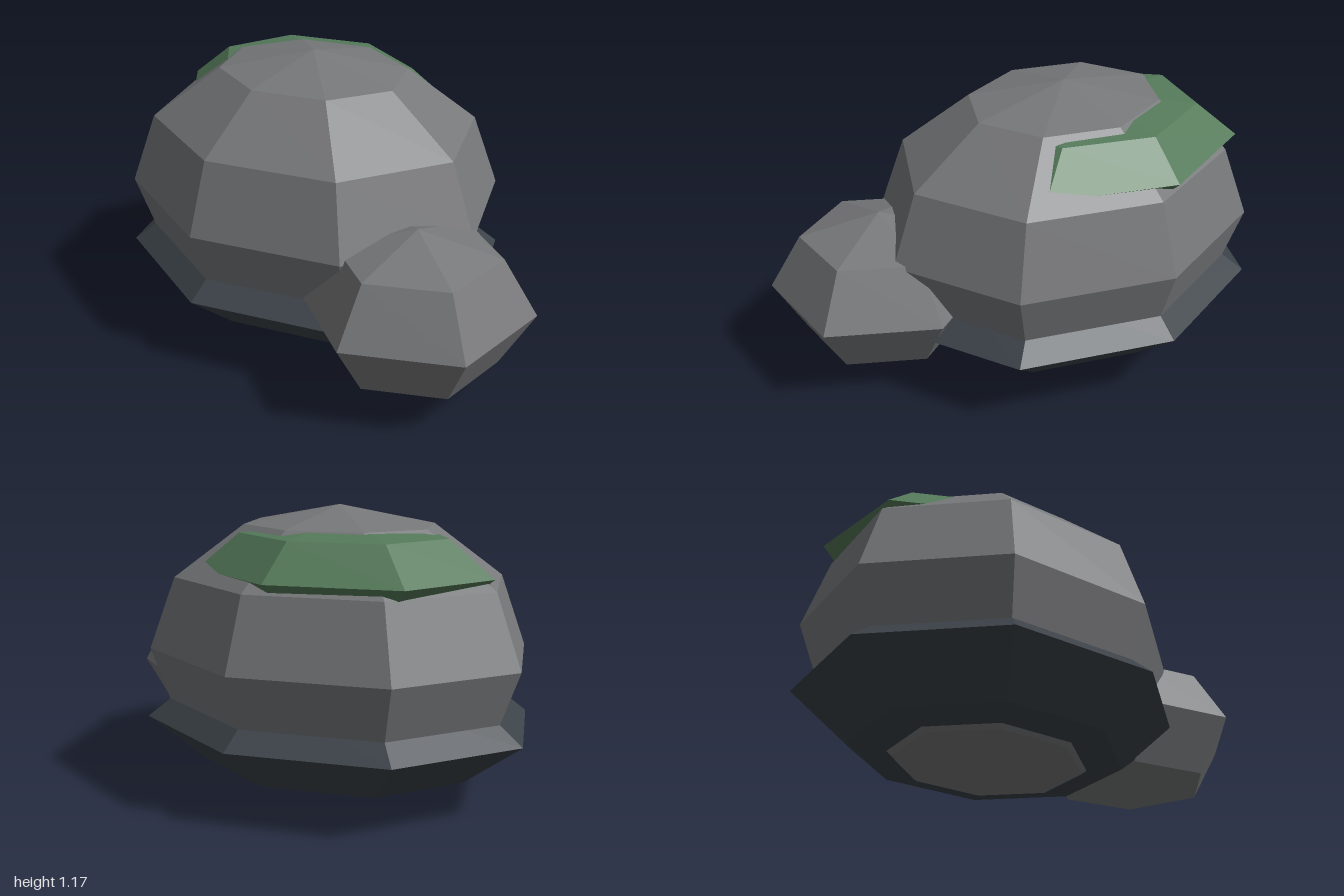
import * as THREE from 'three';

// Faceted, squashed boulder: turned first, then scaled along the axes
function boulder(name, color, [sides, rings], turn, radii, centre) {
  const geometry = new THREE.SphereGeometry(1, sides, rings);
  geometry.rotateY(turn);
  geometry.scale(...radii);
  geometry.translate(...centre);
  const material = new THREE.MeshStandardMaterial({ color, flatShading: true });
  const mesh = new THREE.Mesh(geometry, material);
  mesh.name = name;
  return mesh;
}

export function createModel() {
  const group = new THREE.Group();
  group.name = 'mossyRocks';

  const stone = 0x77787a;
  const wetStone = 0x3b4248;
  const moss = 0x557a5a;

  group.add(
    // main rock
    boulder('mainRock', stone, [8, 6], 0, [0.833, 0.585, 0.715], [-0.15, 0.585, 0]),
    // dark damp skirt around its foot
    boulder('darkBase', wetStone, [8, 4], 0, [0.85, 0.26, 0.73], [-0.15, 0.298, 0]),
    // small rock leaning against the side
    boulder('smallRock', stone, [6, 4], Math.PI / 6, [0.462, 0.318, 0.457], [0.6, 0.378, 0.248]),
    // moss cap showing through the back shoulder of the main rock
    boulder('mossPatch', moss, [7, 4], -Math.PI / 2, [0.63, 0.205, 0.51], [-0.24, 0.92, -0.1])
  );
  return group;
}
